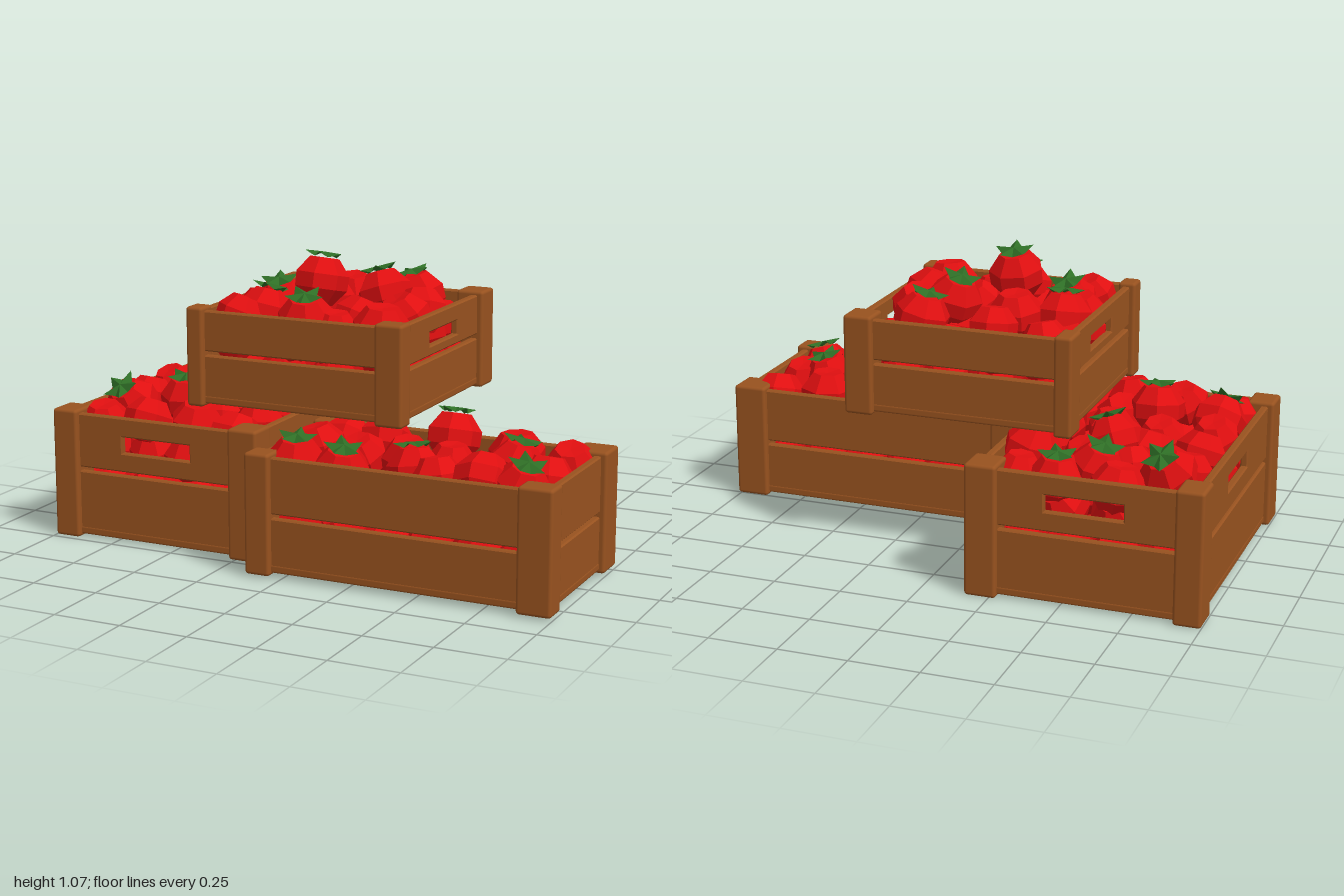
import * as THREE from 'three';
import { RoundedBoxGeometry } from 'three/addons/geometries/RoundedBoxGeometry.js';

const wood = new THREE.MeshStandardMaterial({ color: 0x98521f });
wood.name = 'wood';
const red = new THREE.MeshStandardMaterial({ color: 0xe00f10 });
red.name = 'tomatoRed';
const green = new THREE.MeshStandardMaterial({ color: 0x2f6f26, side: THREE.DoubleSide });
green.name = 'leafGreen';

// Faceted, slightly squat fruit
function tomatoGeometry() {
  const profile = [[0, -0.085], [0.048, -0.08], [0.092, -0.025], [0.094, 0.025], [0.052, 0.08], [0, 0.075]]
    .map(([r, y]) => new THREE.Vector2(r, y));
  const g = new THREE.LatheGeometry(profile, 7).toNonIndexed();
  g.computeVertexNormals();
  return g;
}

// Five-pointed cap: a shallow cone with every other rim point pulled in
function leafGeometry() {
  const g = new THREE.ConeGeometry(0.068, 0.02, 10, 1, true);
  const p = g.attributes.position;
  for (let i = 0; i < p.count; i++) {
    if (p.getY(i) > 0) continue;
    const tip = (i % 11) % 2 === 0;
    const k = tip ? 1 : 0.6;
    p.setXYZ(i, p.getX(i) * k, tip ? 0.008 : -0.008, p.getZ(i) * k);
  }
  const flat = g.toNonIndexed();
  flat.computeVertexNormals();
  return flat;
}

const fruit = tomatoGeometry();
const leaf = leafGeometry();
const mid = ([a, b]) => (a + b) / 2;

function seeded(seed) {
  return () => (seed = (seed * 16807) % 2147483647) / 2147483647;
}
const rand = seeded(77);
const jitter = (amount) => (rand() - 0.5) * 2 * amount;

function add(parent, name, geometry, material, x, y, z) {
  const m = new THREE.Mesh(geometry, material);
  m.name = name;
  m.position.set(x, y, z);
  parent.add(m);
  return m;
}

// Upright board centred on its origin, with an optional hand slot
function plankGeometry(length, height, slot) {
  const b = 0.005, w = length / 2 - b, h = height / 2 - b;
  const rectangle = (x, lo, hi) => [[-x, lo], [x, lo], [x, hi], [-x, hi]].map((p) => new THREE.Vector2(...p));
  const s = new THREE.Shape(rectangle(w, -h, h));
  if (slot) s.holes.push(new THREE.Path(rectangle(slot[0] / 2, slot[1], slot[2]).reverse()));
  const g = new THREE.ExtrudeGeometry(s, {
    depth: 0.018, bevelEnabled: true, bevelSize: b, bevelThickness: b, bevelSegments: 1,
  });
  return g.translate(0, 0, -0.009);
}

// c: extents x, y, z; post widths (left/right by x, back/front by z); board gap and slot
function buildCrate(c) {
  const crate = new THREE.Group();
  crate.name = c.name;
  const w = c.x[1] - c.x[0], d = c.z[1] - c.z[0], h = c.y[1] - c.y[0];

  // Corner posts
  for (const i of [0, 1]) for (const j of [0, 1]) {
    const pw = c.postW[i], pd = c.postD[j];
    add(crate, 'cornerPost', new RoundedBoxGeometry(pw, h, pd, 2, 0.012), wood,
      c.x[i] + (i ? -pw : pw) / 2, mid(c.y), c.z[j] + (j ? -pd : pd) / 2);
  }

  // Two boards on each wall, the upper one carrying the slot
  const inset = 0.036;
  const boards = [['lowerPlank', c.y[0] + 0.01, c.gap], ['upperPlank', c.gap + 0.015, c.y[1] - 0.014]];
  for (const [label, lo, hi] of boards) {
    const y = (lo + hi) / 2;
    const slot = label === 'upperPlank' && c.slot && [c.slot[0], c.slot[1] - y, c.slot[2] - y];
    for (const k of [0, 1]) {
      const inward = k ? -inset : inset;
      add(crate, label, plankGeometry(w - 0.06, hi - lo, c.slotZ && slot), wood,
        mid(c.x), y, c.z[k] + inward);
      add(crate, label, plankGeometry(d - 0.06, hi - lo, slot), wood,
        c.x[k] + inward, y, mid(c.z)).rotation.y = Math.PI / 2;
    }
  }

  // Floor
  add(crate, 'floor', new RoundedBoxGeometry(w - 0.04, 0.03, d - 0.04, 1, 0.008), wood,
    mid(c.x), c.y[0] + 0.025, mid(c.z));
  return crate;
}

function addTomato(crate, x, y, z, scale, hasLeaf) {
  const g = new THREE.Group();
  g.name = 'tomato';
  g.position.set(x, y, z);
  g.rotation.set(jitter(0.4), rand() * 6.28, jitter(0.4));
  g.scale.setScalar(scale);
  add(g, 'fruit', fruit, red, 0, 0, 0);
  if (hasLeaf) add(g, 'leafCap', leaf, green, 0, 0.09, 0);
  crate.add(g);
}

// leafy: [x, z, top height] of the tomatoes that show their caps
function fillCrate(crate, c, leafy) {
  for (const [x, z, top] of leafy) addTomato(crate, x, top - 0.088, z, 1.06, true);

  // Rows of plain tomatoes: two layers inside, and a loose one on top around the leafy ones
  const h = c.y[1] - c.y[0], margin = 0.14;
  const steps = ([a, b]) => Math.round((b - a - 2 * margin) / 0.16);
  const along = ([a, b], t) => THREE.MathUtils.lerp(a + margin, b - margin, t);
  const nx = steps(c.x), nz = steps(c.z);
  for (const layer of [0.34, 0.66, 1]) {
    const onTop = layer === 1;
    for (let i = 0; i <= nx; i++) for (let j = 0; j <= nz; j++) {
      const x = along(c.x, i / nx) + jitter(0.015);
      const z = along(c.z, j / nz) + jitter(0.015);
      const crowded = leafy.some(([lx, lz]) => Math.hypot(lx - x, lz - z) < 0.1);
      if (onTop && crowded) continue;
      const y = c.y[0] + h * layer + (onTop ? jitter(0.02) - 0.055 : 0);
      addTomato(crate, x, y, z, onTop ? 1 + jitter(0.1) : 0.95, false);
    }
  }
}

function makeCrate(c, leafy) {
  const crate = buildCrate(c);
  fillCrate(crate, c, leafy);
  return crate;
}

export function createModel() {
  const model = new THREE.Group();
  model.name = 'tomatoCrates';
  model.add(makeCrate({
    name: 'sideCrate', x: [-1, -0.16], y: [0, 0.48], z: [-0.63, 0.48],
    postW: [0.1, 0.115], postD: [0.125, 0.12], gap: 0.25, slot: [0.29, 0.33, 0.4], slotZ: true,
  }, [
    [-0.82, -0.41, 0.54], [-0.57, -0.42, 0.53], [-0.45, -0.49, 0.5],
    [-0.57, -0.21, 0.56], [-0.84, 0.18, 0.54], [-0.62, 0.15, 0.57],
  ]));
  model.add(makeCrate({
    name: 'frontCrate', x: [-0.13, 1], y: [0.01, 0.445], z: [-0.03, 0.625],
    postW: [0.095, 0.125], postD: [0.125, 0.095], gap: 0.215,
  }, [
    [0.43, 0.1, 0.53], [0.74, 0.29, 0.5], [0.43, 0.43, 0.48],
    [0.83, 0.46, 0.48], [0.18, 0.49, 0.47], [0, 0.48, 0.48],
  ]));
  model.add(makeCrate({
    name: 'topCrate', x: [-0.47, 0.37], y: [0.53, 0.89], z: [-0.415, 0.415],
    postW: [0.065, 0.105], postD: [0.11, 0.08], gap: 0.715, slot: [0.26, 0.76, 0.82],
  }, [
    [0.13, -0.27, 0.95], [0.07, -0.1, 0.98], [-0.31, -0.02, 0.93],
    [-0.1, 0.08, 1.045], [-0.28, 0.17, 0.93], [-0.06, 0.28, 0.94],
  ]));
  return model;
}
